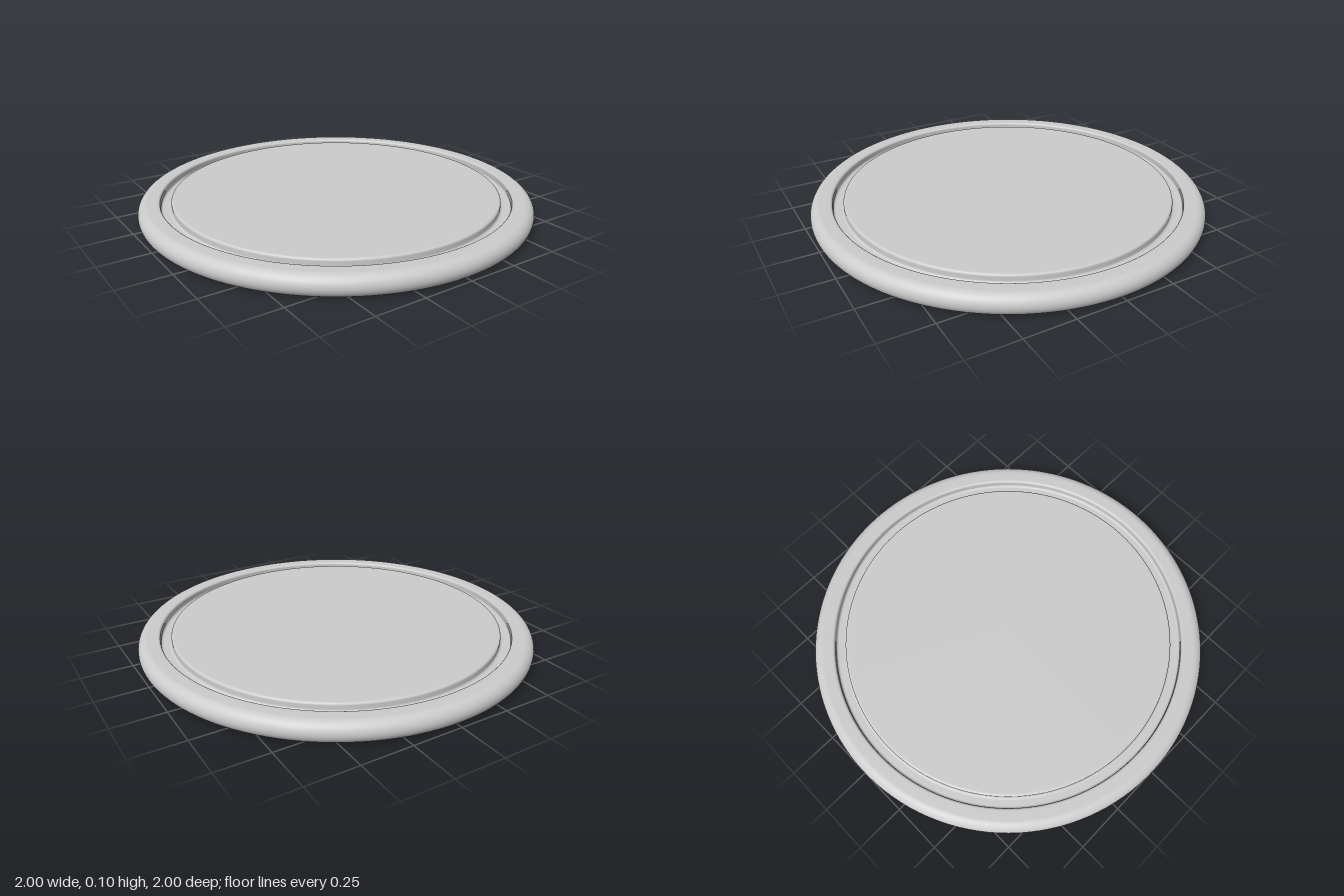
import * as THREE from 'three';

const HEIGHT = 0.105; // overall height of the lid
const GROOVE = 0.064; // level of the groove floor
const FILLET = 0.012; // bend radius of the groove

export function createModel() {
  const group = new THREE.Group();
  const material = new THREE.MeshStandardMaterial({ color: 0xcccccc, side: THREE.DoubleSide });

  // Cross-section of the pressed sheet, from the free lower edge round to the centre
  const points = [new THREE.Vector2(0.84, 0), new THREE.Vector2(0.9, 0)];
  const bend = (x, y, radius, from, to, steps) => {
    for (let i = 0; i <= steps; i++) {
      const a = THREE.MathUtils.degToRad(from + ((to - from) * i) / steps);
      points.push(new THREE.Vector2(x + radius * Math.cos(a), y + radius * Math.sin(a)));
    }
  };
  const high = HEIGHT - FILLET;
  const low = GROOVE + FILLET;
  bend(1 - HEIGHT / 2, HEIGHT / 2, HEIGHT / 2, -90, 90, 24); // rolled outer rim
  bend(0.901, high, FILLET, 90, 180, 6); // rim into groove
  bend(0.877, low, FILLET, 0, -90, 6); // outer groove corner
  bend(0.848, low, FILLET, -90, -180, 6); // inner groove corner
  bend(0.824, high, FILLET, 0, 90, 6); // groove into panel
  points.push(new THREE.Vector2(0.8, HEIGHT), new THREE.Vector2(0, HEIGHT)); // flat panel

  const lid = new THREE.Mesh(new THREE.LatheGeometry(points, 128), material);
  lid.name = 'lid';
  group.add(lid);
  return group;
}
